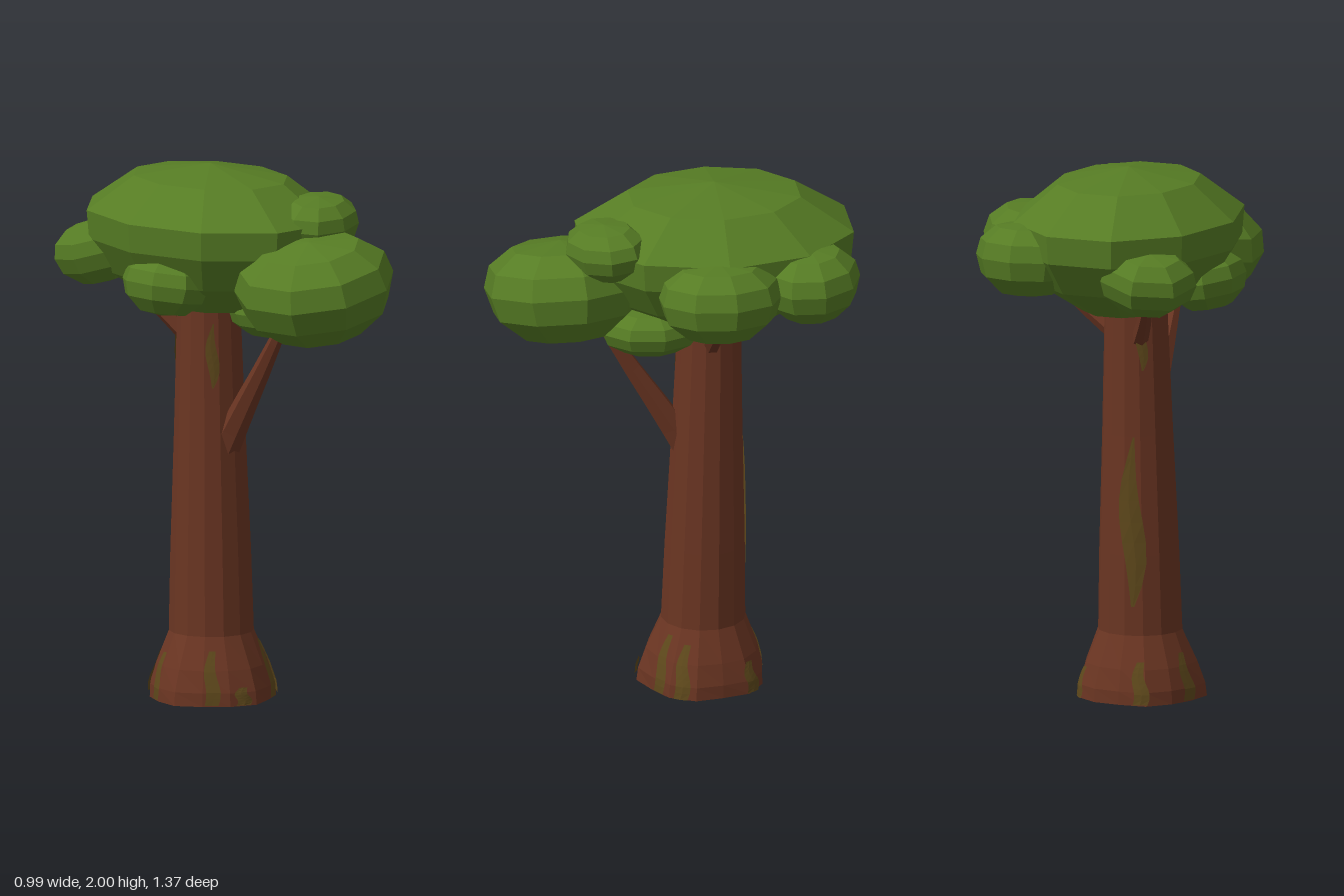
import * as THREE from 'three';

const mat = (color, side = THREE.FrontSide) =>
  new THREE.MeshStandardMaterial({ color, flatShading: true, side });
const bark = mat(0x6a3522);
const leaf = mat(0x567c24);
const moss = mat(0x5e481b, THREE.DoubleSide);

// Trunk outline: [height, radius]
const TRUNK = [[0, 0.235], [0.05, 0.232], [0.13, 0.208], [0.25, 0.158], [0.55, 0.15], [1, 0.133], [1.52, 0.116]];

function trunkRadius(y) {
  let i = 1;
  while (i < TRUNK.length - 1 && y > TRUNK[i][0]) i++;
  const [y0, r0] = TRUNK[i - 1], [y1, r1] = TRUNK[i];
  return THREE.MathUtils.mapLinear(y, y0, y1, r0, r1);
}

// Point on the trunk; angle 0 faces the front, the foot swells into root lobes
function trunkPoint(angle, y, lift = 0, scale = 1) {
  const flare = Math.max(0, 1 - y / 0.25);
  const r = (trunkRadius(y) * (1 + 0.05 * flare * Math.cos(5 * angle + 0.6)) + lift) * scale;
  const t = y / 1.52;
  return new THREE.Vector3(-0.107 + 0.01 * t + r * Math.sin(angle), y, -0.128 - 0.028 * t + r * Math.cos(angle));
}

function makeTrunk() {
  const profile = [[0, 0], ...TRUNK.map(([y, r]) => [r, y]), [0, 1.52]].map(p => new THREE.Vector2(...p));
  const geo = new THREE.LatheGeometry(profile, 14);
  const pos = geo.attributes.position;
  for (let i = 0; i < pos.count; i++) {
    const x = pos.getX(i), y = pos.getY(i), z = pos.getZ(i);
    const p = trunkPoint(Math.atan2(x, z), y, 0, Math.hypot(x, z) / trunkRadius(y));
    pos.setXYZ(i, p.x, p.y, p.z);
  }
  const mesh = new THREE.Mesh(geo, bark);
  mesh.name = 'trunk';
  return mesh;
}

// Pointed strip of moss lying on the trunk
function makeMoss(angle, y0, y1, width, base = 0.1) {
  const steps = 8, verts = [], index = [];
  for (let i = 0; i <= steps; i++) {
    const t = i / steps, y = y0 + (y1 - y0) * t;
    const w = width * (base + Math.sin(Math.PI * t) * (1 - base)) * (1 - t * 0.4);
    const mid = angle + 0.12 * Math.sin(t * 7) * width;
    for (const s of [-1, 0, 1]) verts.push(...trunkPoint(mid + s * w / 2, y, 0.005).toArray());
    if (i < steps) for (const k of [3 * i, 3 * i + 1]) index.push(k, k + 1, k + 4, k, k + 4, k + 3);
  }
  const geo = new THREE.BufferGeometry();
  geo.setAttribute('position', new THREE.Float32BufferAttribute(verts, 3));
  geo.setIndex(index);
  geo.computeVertexNormals();
  const mesh = new THREE.Mesh(geo, moss);
  mesh.name = 'mossPatch';
  return mesh;
}

// Tapered branch along a curve
function makeBranch(name, points, r0, r1) {
  const curve = new THREE.CatmullRomCurve3(points.map(p => new THREE.Vector3(...p)));
  const rows = 5, sides = 6;
  const geo = new THREE.TubeGeometry(curve, rows, 1, sides);
  const pos = geo.attributes.position, v = new THREE.Vector3();
  for (let i = 0; i < pos.count; i++) {
    const t = Math.floor(i / (sides + 1)) / rows;
    const c = curve.getPointAt(t);
    v.fromBufferAttribute(pos, i).sub(c).multiplyScalar(r0 + (r1 - r0) * t).add(c);
    pos.setXYZ(i, v.x, v.y, v.z);
  }
  const mesh = new THREE.Mesh(geo, bark);
  mesh.name = name;
  return mesh;
}

// Faceted leaf cushion: a unit profile turned, then stretched
const CUSHION = [[0, -1], [0.55, -0.88], [0.9, -0.42], [1, 0.08], [0.92, 0.52], [0.62, 0.88], [0, 1]];
const DOME = [[0, -1], [0.4, -0.9], [0.8, -0.48], [0.98, -0.02], [1, 0.36], [0.62, 0.83], [0, 1]];

function makeLeaves(name, center, size, tilt = [0, 0, 0], profile = CUSHION, sides = 9) {
  const geo = new THREE.LatheGeometry(profile.map(p => new THREE.Vector2(...p)), sides);
  geo.rotateY(Math.PI / sides);
  geo.scale(size[0] * 1.04, size[1], size[2] * 1.04);
  const mesh = new THREE.Mesh(geo, leaf);
  mesh.name = name;
  mesh.position.set(...center);
  mesh.rotation.set(...tilt);
  return mesh;
}

export function createModel() {
  const tree = new THREE.Group();
  tree.name = 'tree';
  tree.add(makeTrunk());

  // Branches
  tree.add(
    makeBranch('frontBranch', [[-0.1, 0.9, -0.09], [-0.1, 1.08, 0.02], [-0.1, 1.3, 0.16], [-0.1, 1.5, 0.28]], 0.06, 0.018),
    makeBranch('leftBranch', [[-0.06, 1.33, -0.15], [0.08, 1.43, -0.15], [0.3, 1.6, -0.14]], 0.035, 0.016),
    makeBranch('backBranch', [[-0.12, 1.32, -0.2], [-0.19, 1.44, -0.31], [-0.28, 1.62, -0.47]], 0.035, 0.016),
  );

  // Moss on the bark: [angle, bottom, top, angular width, blunt end]
  [[3.35, 0.36, 1.0, 0.75], [-0.65, 1.18, 1.42, 0.45], [-2.6, 1.25, 1.45, 0.4]]
    .forEach(a => tree.add(makeMoss(...a)));
  [[-0.75, 0.2], [0.65, 0.22], [-0.25, 0.07], [1.1, 0.2], [2.3, 0.12], [3.5, 0.16], [4.4, 0.18]]
    .forEach(([angle, top]) => tree.add(makeMoss(angle, 0.005, top, 0.28, 0.8)));

  // Crown
  tree.add(
    makeLeaves('mainCrown', [-0.075, 1.72, -0.17], [0.4, 0.28, 0.51], [0, 0, 0], DOME, 10),
    makeLeaves('frontLeaves', [-0.07, 1.6, 0.395], [0.29, 0.19, 0.29], [0.04, 0, 0.2]),
    makeLeaves('frontTopLeaves', [0.075, 1.81, 0.255], [0.18, 0.105, 0.14], [0.08, 0.4, 0.05]),
    makeLeaves('lowerLeaves', [0.01, 1.46, 0.08], [0.15, 0.09, 0.19]),
    makeLeaves('leftLeaves', [0.31, 1.68, -0.135], [0.19, 0.15, 0.225], [0, 0, 0.1]),
    makeLeaves('backLeftLeaves', [0.2, 1.69, -0.49], [0.19, 0.14, 0.18], [0.05, 0, 0]),
    makeLeaves('rightLeaves', [-0.36, 1.58, -0.11], [0.14, 0.11, 0.18], [0, 0, -0.15], CUSHION, 8),
    makeLeaves('backRightLeaves', [-0.29, 1.65, -0.53], [0.18, 0.12, 0.16], [-0.2, 0, 0.15], CUSHION, 7),
  );
  return tree;
}
